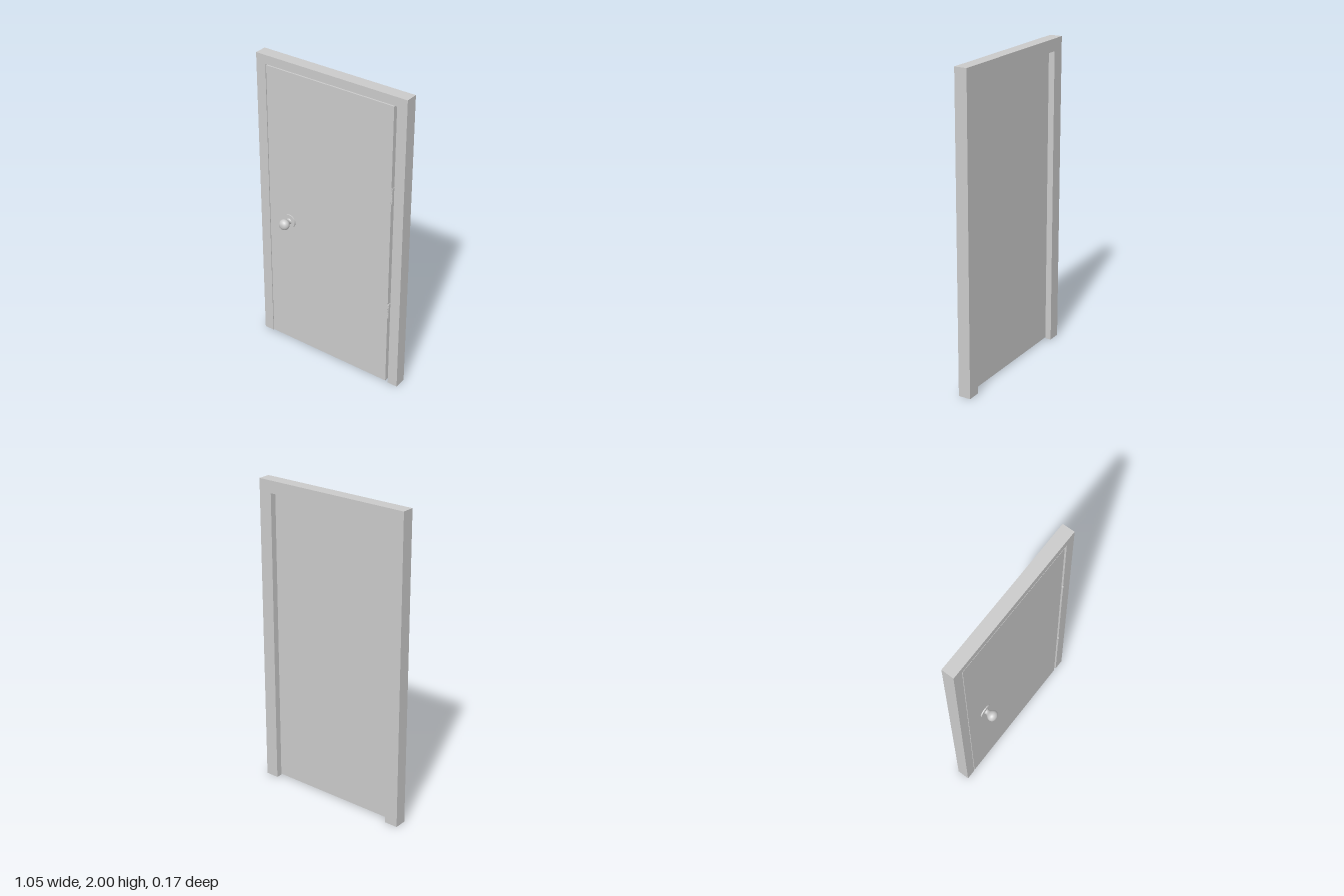
import * as THREE from 'three';

const mat = new THREE.MeshStandardMaterial({ color: 0xcccccc });

function add(parent, geometry, name, x = 0, y = 0, z = 0) {
  const mesh = new THREE.Mesh(geometry, mat);
  mesh.name = name;
  mesh.position.set(x, y, z);
  parent.add(mesh);
  return mesh;
}

// Upside-down U: two jambs and a head around an opening
function surround(halfOpening, openingTop, depth) {
  const w = 0.527, h = 2;
  const points = [
    [-w, 0], [-halfOpening, 0], [-halfOpening, openingTop], [halfOpening, openingTop],
    [halfOpening, 0], [w, 0], [w, h], [-w, h],
  ].map(([x, y]) => new THREE.Vector2(x, y));
  return new THREE.ExtrudeGeometry(new THREE.Shape(points), { depth, bevelEnabled: false });
}

export function createModel() {
  const model = new THREE.Group();
  model.name = 'door';

  const front = -0.005, middle = -0.045, back = -0.085;

  // Rebated frame: wide opening in front, narrower stop behind
  const frame = new THREE.Group();
  frame.name = 'frame';
  add(frame, surround(0.46, 1.943, front - middle), 'frameFront', 0, 0, middle);
  add(frame, surround(0.44, 1.922, middle - back), 'frameStop', 0, 0, back);
  model.add(frame);

  // Door leaf, flush with the frame, wider gap on the hinge side
  const left = 0.441, right = -0.455, bottom = 0.007, top = 1.937;
  add(model, new THREE.BoxGeometry(left - right, top - bottom, front - middle), 'doorLeaf',
    (left + right) / 2, (top + bottom) / 2, (front + middle) / 2);

  // Hinges: barrel of alternating knuckles and a pin
  for (const y of [0.555, 1.37]) {
    const hinge = new THREE.Group();
    hinge.name = 'hinge';
    hinge.position.set(0.448, y, 0);
    for (let i = 0; i < 5; i++) {
      add(hinge, new THREE.CylinderGeometry(0.005, 0.005, 0.019, 12), 'hingeKnuckle', 0, (i - 2) * 0.02, 0);
    }
    add(hinge, new THREE.CylinderGeometry(0.0035, 0.0035, 0.1, 12), 'hingePin');
    add(hinge, new THREE.BoxGeometry(0.003, 0.099, 0.035), 'hingeLeaf', 0, 0, -0.02);
    model.add(hinge);
  }

  // Knob: flat rosette with a turned, pear-shaped grip
  const knob = new THREE.Group();
  knob.name = 'knob';
  knob.position.set(-0.302, 0.922, front);
  const rosette = add(knob, new THREE.CylinderGeometry(0.045, 0.045, 0.008, 32), 'rosette', 0, 0, 0.004);
  rosette.rotation.x = Math.PI / 2;
  const profile = new THREE.SplineCurve([
    [0.02, 0.008], [0.0165, 0.013], [0.0165, 0.02], [0.021, 0.028], [0.03, 0.039],
    [0.0345, 0.049], [0.0355, 0.057], [0.0335, 0.066], [0.028, 0.075], [0.018, 0.082], [0.008, 0.0848], [0, 0.085],
  ].map(([r, y]) => new THREE.Vector2(r, y))).getPoints(28);
  profile[profile.length - 1].x = 0;
  const grip = add(knob, new THREE.LatheGeometry(profile, 32), 'grip');
  grip.rotation.x = Math.PI / 2;
  model.add(knob);

  return model;
}
